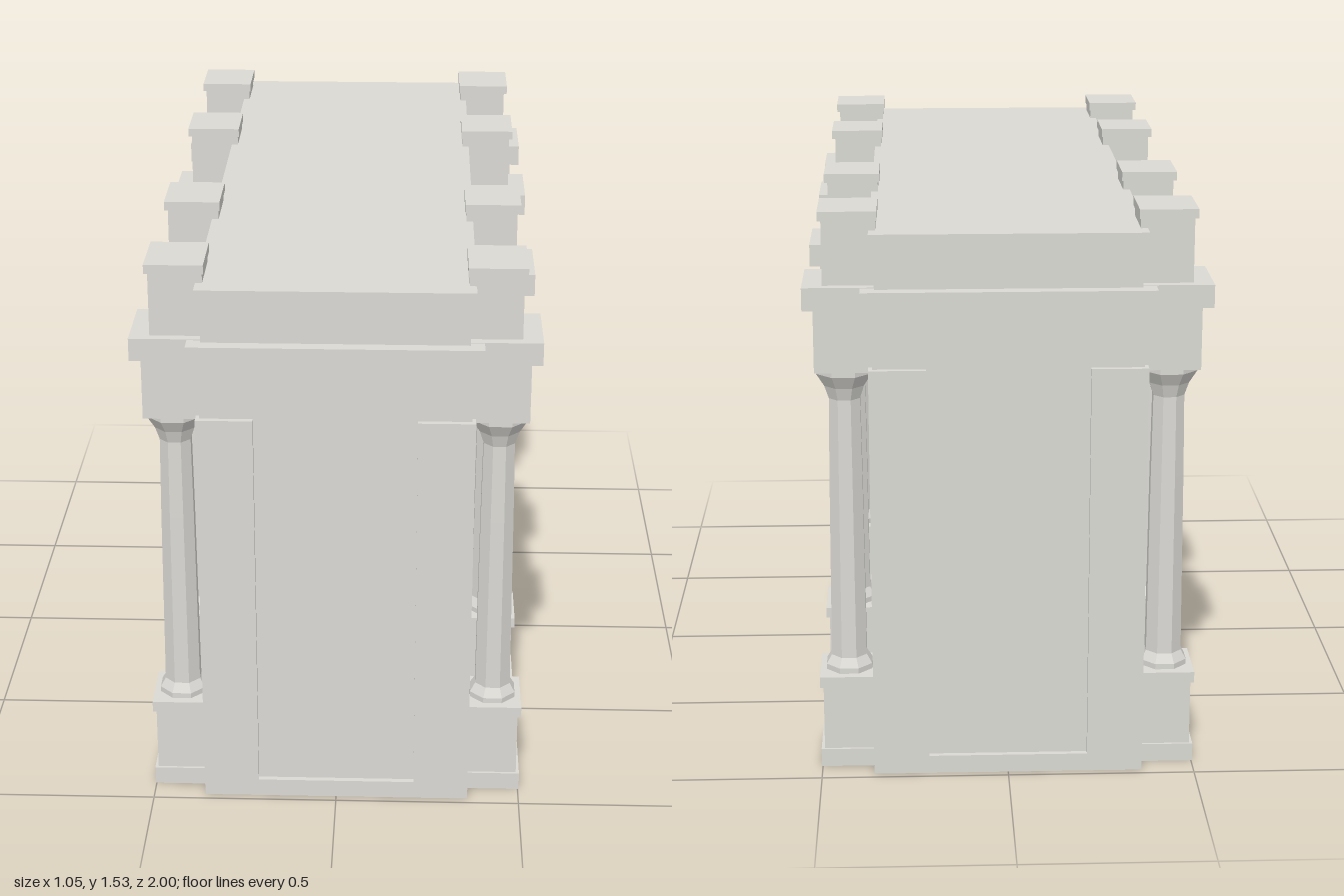
import * as THREE from 'three';

const material = (name, color) => {
  const m = new THREE.MeshStandardMaterial({ color });
  m.name = name;
  return m;
};

export function createModel() {
  const stone = material('stone', 0xdad9d4);
  const lining = material('arch lining', 0xafa99b);
  const iron = material('iron', 0x262725);
  const under = material('underside', 0xb2b2ac);
  const model = new THREE.Group();
  model.name = 'triumphalArch';

  const add = (parent, name, geo, mat = stone) => {
    const mesh = new THREE.Mesh(geo, mat);
    mesh.name = name;
    parent.add(mesh);
    return mesh;
  };
  // box given by its limits on each axis
  const box = (parent, name, x0, x1, y0, y1, z0, z1, mat = stone) =>
    add(parent, name, new THREE.BoxGeometry(x1 - x0, y1 - y0, z1 - z0)
      .translate((x0 + x1) / 2, (y0 + y1) / 2, (z0 + z1) / 2), mat);
  const points = (list) => list.map((p) => new THREE.Vector2(...p));
  // shape drawn in (z, y), extruded along x
  const slab = (parent, name, shape, x0, x1, mat = stone) =>
    add(parent, name, new THREE.ExtrudeGeometry(shape, { depth: x1 - x0, bevelEnabled: false })
      .rotateY(-Math.PI / 2).translate(x1, 0, 0), mat);
  const flat = (geo) => {
    const g = geo.toNonIndexed();
    g.computeVertexNormals();
    return g;
  };
  // half circle of points from -z to +z
  const arc = (c, y, r, n) => Array.from({ length: n + 1 }, (_, i) => {
    const a = Math.PI * (1 - i / n);
    return new THREE.Vector2(c + r * Math.cos(a), y + r * Math.sin(a));
  });
  // tapered limb between two points
  const limb = (parent, name, a, b, r0, r1) => {
    const p = new THREE.Vector3(...a), q = new THREE.Vector3(...b);
    const d = q.clone().sub(p);
    const m = add(parent, name, new THREE.CylinderGeometry(r1, r0, d.length(), 8));
    m.position.copy(p).add(q).multiplyScalar(0.5);
    m.quaternion.setFromUnitVectors(new THREE.Vector3(0, 1, 0), d.normalize());
    return m;
  };

  const arches = [
    { name: 'side', c: -0.595, y: 0.485, r: 0.14, n: 8, outer: 0.17, outerN: 5, foot: 0.46,
      bars: [-0.138, -0.083, -0.028, 0.028, 0.083, 0.138], rails: [0.03, 0.275, 0.495] },
    { name: 'main', c: 0, y: 0.685, r: 0.27, n: 12, outer: 0.3, outerN: 10, foot: 0.65,
      bars: [-5, -4, -3, -2, -1, 0, 1, 2, 3, 4, 5].map((k) => k * 0.0535), rails: [0.03, 0.385, 0.695] },
  ];
  arches.push({ ...arches[0], c: 0.595 });

  // main block with three passages
  const low = 0.05;
  const outline = [new THREE.Vector2(-0.95, low)];
  for (const a of arches) {
    outline.push(new THREE.Vector2(a.c - a.r, low), ...arc(a.c, a.y, a.r, a.n), new THREE.Vector2(a.c + a.r, low));
  }
  outline.push(new THREE.Vector2(0.95, low), new THREE.Vector2(0.95, 1.28), new THREE.Vector2(-0.95, 1.28));
  slab(model, 'body', new THREE.Shape(outline), -0.35, 0.35, [stone, lining]);

  // hollow feet of the four piers, with a recessed underside
  for (const [a, b] of [[-0.965, -0.735], [-0.455, -0.27], [0.27, 0.455], [0.735, 0.965]]) {
    const foot = new THREE.Group();
    foot.name = 'pierFoot';
    model.add(foot);
    box(foot, 'recess', -0.34, 0.34, low - 0.004, low, a + 0.005, b - 0.005, under);
    box(foot, 'passageSide', -0.33, 0.33, 0, low, a, a + 0.015, lining);
    box(foot, 'passageSide', -0.33, 0.33, 0, low, b - 0.015, b, lining);
    for (const x of [-0.35, 0.33]) box(foot, 'faceSide', x, x + 0.02, 0, low, a, b);
  }

  // cornice and attic
  box(model, 'cornice', -0.378, 0.378, 1.278, 1.335, -1, 1);
  box(model, 'attic', -0.342, 0.342, 1.335, 1.45, -0.965, 0.965);
  box(model, 'atticCap', -0.355, 0.355, 1.448, 1.48, -0.978, 0.978);

  // iron gates
  const gateX = 0.09;
  for (const a of arches) {
    const gate = new THREE.Group();
    gate.name = a.name + 'Gate';
    model.add(gate);
    for (const z of a.bars) {
      const top = a.y + Math.sqrt(Math.max(0, a.r * a.r - z * z)) - 0.012;
      box(gate, 'bar', gateX - 0.003, gateX + 0.003, 0.003, top, a.c + z - 0.003, a.c + z + 0.003, iron);
    }
    for (const y of a.rails) {
      box(gate, 'rail', gateX - 0.004, gateX + 0.004, y - 0.004, y + 0.004, a.c - a.r, a.c + a.r, iron);
    }
  }

  // end walls: plinth, wall skin and two raised corner strips
  const end = new THREE.Group();
  end.name = 'endWall';
  box(end, 'wall', -0.35, 0.35, low, 1.28, 0.95, 0.965);
  box(end, 'plinth', -0.36, 0.36, 0, 0.05, 0.945, 0.98);
  for (const [a, b] of [[-0.36, -0.212], [0.212, 0.36]]) {
    box(end, 'cornerStrip', a, b, 0.05, 1.125, 0.945, 0.98);
  }

  // one long face, used again on the other side
  const face = new THREE.Group();
  face.name = 'longFace';

  const columnProfile = points([[0.066, 0.258], [0.066, 0.275], [0.051, 0.3], [0.047, 0.8], [0.044, 1.02],
    [0.056, 1.055], [0.078, 1.09], [0.078, 1.11]]);
  const columnGeo = flat(new THREE.LatheGeometry(columnProfile, 8).rotateY(Math.PI / 8));

  // pedestal foot as a hollow square
  const footShape = new THREE.Shape(points([[-0.083, 0.345], [0.083, 0.345], [0.083, 0.503], [-0.083, 0.503]]));
  footShape.holes.push(new THREE.Path(points([[-0.058, 0.375], [-0.058, 0.478], [0.058, 0.478], [0.058, 0.375]])));
  const footGeo = new THREE.ExtrudeGeometry(footShape, { depth: 0.05, bevelEnabled: false })
    .rotateX(-Math.PI / 2).rotateY(-Math.PI / 2).scale(-1, 1, -1);

  for (const z of [-0.845, -0.345, 0.345, 0.845]) {
    const bay = new THREE.Group();
    bay.name = 'columnBay';
    bay.position.z = z;
    face.add(bay);
    add(bay, 'pedestalFoot', footGeo);
    box(bay, 'pedestal', 0.34, 0.494, 0.05, 0.23, -0.076, 0.076);
    box(bay, 'pedestalCap', 0.34, 0.503, 0.23, 0.26, -0.084, 0.084);
    add(bay, 'column', columnGeo).position.x = 0.425;
    box(bay, 'entablatureBlock', 0.34, 0.5, 1.105, 1.28, -0.08, 0.08);
    box(bay, 'corniceBlock', 0.34, 0.527, 1.276, 1.337, -0.105, 0.105);
    box(bay, 'atticPier', 0.337, 0.475, 1.33, 1.508, -0.08, 0.08);
    box(bay, 'atticPierCap', 0.333, 0.484, 1.506, 1.53, -0.088, 0.088);
  }

  // arch mouldings with short returns at the springing
  for (const a of arches) {
    const v = (z, y) => new THREE.Vector2(a.c + z, y);
    const ring = new THREE.Shape([
      v(-a.outer - 0.008, a.foot), ...arc(a.c, a.y, a.outer, a.outerN), v(a.outer + 0.008, a.foot),
      v(a.r - 0.005, a.foot), ...arc(a.c, a.y, a.r - 0.005, a.n).reverse(), v(-a.r + 0.005, a.foot),
    ]);
    slab(face, a.name + 'Moulding', ring, 0.34, 0.365);
  }
  box(face, 'keystone', 0.34, 0.372, 0.95, 1.075, -0.04, 0.04);

  // relief panels with two robed figures each
  const robe = new THREE.LatheGeometry(points([[0.031, 0], [0.027, 0.04], [0.018, 0.1], [0.026, 0.14],
    [0.022, 0.16], [0.007, 0.17], [0.006, 0.18]]), 10);
  const frame = new THREE.Shape(points([[-0.105, 0.82], [0.105, 0.82], [0.105, 1.07], [-0.105, 1.07]]));
  frame.holes.push(new THREE.Path(points([[-0.084, 0.841], [-0.084, 1.049], [0.084, 1.049], [0.084, 0.841]])));
  for (const c of [-0.595, 0.595]) {
    const panel = new THREE.Group();
    panel.name = 'reliefPanel';
    panel.position.z = c;
    face.add(panel);
    slab(panel, 'frame', frame, 0.345, 0.36);
    for (const z of [0.037, -0.032]) {
      const figure = new THREE.Group();
      figure.name = 'robedFigure';
      figure.position.set(0.35, 0.843, z);
      figure.scale.x = 0.55;
      panel.add(figure);
      add(figure, 'robe', robe);
      add(figure, 'head', new THREE.SphereGeometry(0.013, 10, 8)).position.y = 0.187;
      limb(figure, 'arm', [0.01, 0.155, 0.02], [0.018, 0.085, 0.036], 0.009, 0.007);
    }
  }

  // reclining winged figures beside the main arch
  for (const s of [1, -1]) {
    const figure = new THREE.Group();
    figure.name = 'spandrelFigure';
    figure.position.x = 0.355;
    figure.scale.x = 0.6;
    face.add(figure);
    const part = (name, [z0, y0], [z1, y1], r0, r1) =>
      limb(figure, name, [0, y0, z0 * s], [0, y1, z1 * s], r0, r1);
    part('legs', [0.3, 0.795], [0.21, 0.875], 0.02, 0.028);
    part('torso', [0.215, 0.872], [0.14, 0.905], 0.028, 0.02);
    part('arm', [0.15, 0.905], [0.075, 0.85], 0.017, 0.01);
    add(figure, 'head', new THREE.SphereGeometry(0.018, 10, 8)).position.set(0, 0.905, 0.13 * s);
    const wing = new THREE.Shape(points([[0.19, 0.885], [0.13, 0.905], [0.07, 0.855], [0.085, 0.842], [0.15, 0.862]]
      .map(([z, y]) => [z * s, y])));
    slab(figure, 'wing', wing, -0.008, 0.008);
    if (s > 0) part('raisedArm', [0.195, 0.925], [0.17, 1.015], 0.014, 0.01);
  }

  for (const half of [end, face]) {
    const opposite = half.clone();
    opposite.rotation.y = Math.PI;
    model.add(half, opposite);
  }
  return model;
}
